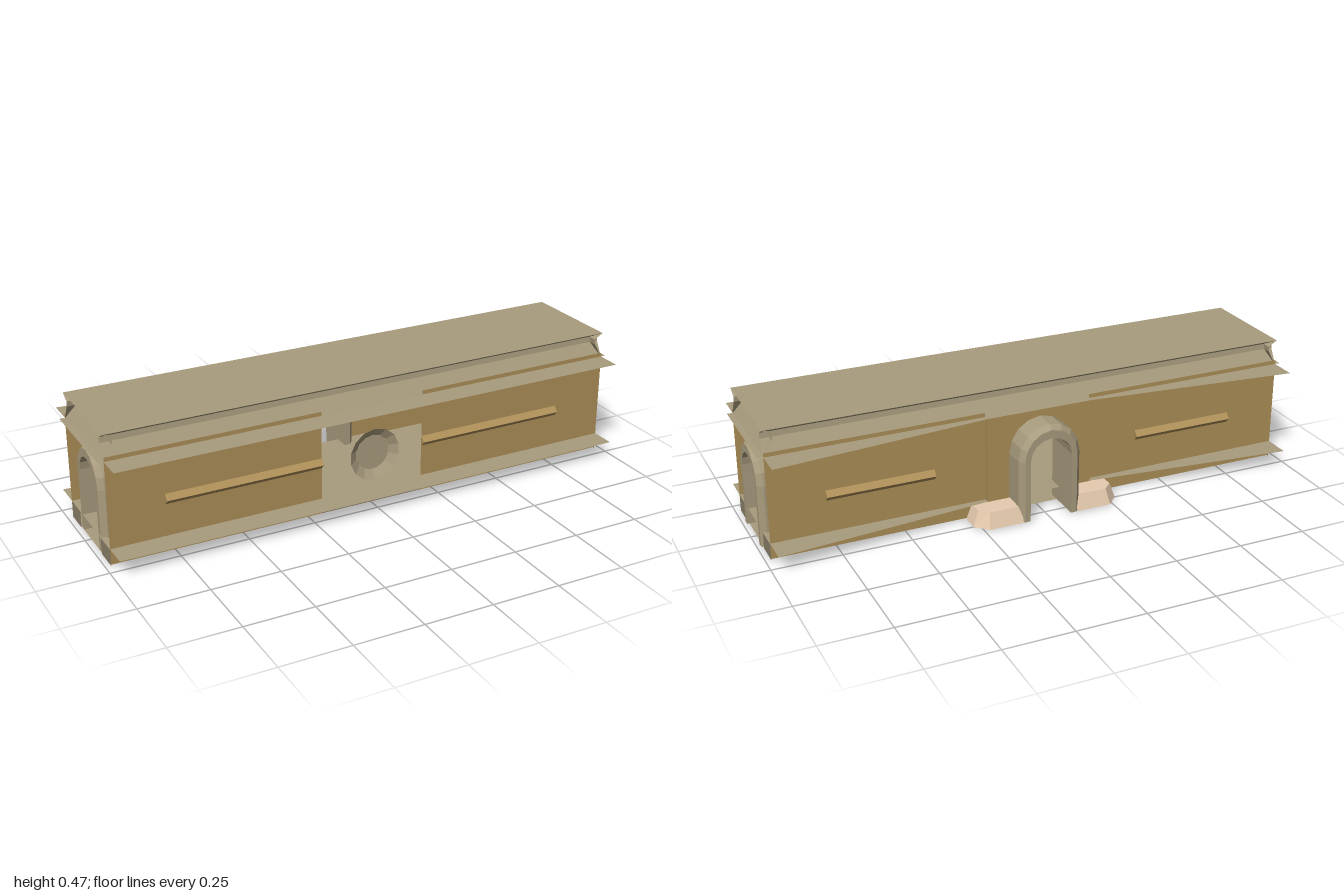
import * as THREE from 'three';

const mat = (name, color) => new THREE.MeshStandardMaterial({ name, color, side: THREE.DoubleSide, flatShading: true });
const FRONT = 0.207, BACK = -0.187, MID = 0.01, END = 0.98, PORCH = -0.207;

export function createModel() {
  const stone = mat('stone', 0xa99c7e);
  const darkStone = mat('darkStone', 0x8b8069);
  const wood = mat('ochreWall', 0xae8f58);
  const pale = mat('paleStone', 0xe6cbae);
  const model = new THREE.Group();

  const add = (name, geo, material, x = 0, y = 0, z = 0, parent = model) => {
    const m = new THREE.Mesh(geo, material);
    m.name = name;
    m.position.set(x, y, z);
    parent.add(m);
    return m;
  };
  const poly = pts => new THREE.Shape(pts.map(p => new THREE.Vector2(...p)));
  // horizontal sheets: from [x, z] points, or a plain rectangle
  const sheet = pts => new THREE.ShapeGeometry(poly(pts.map(([x, z]) => [x, -z]))).rotateX(-Math.PI / 2);
  const flat = (w, d) => new THREE.PlaneGeometry(w, d).rotateX(-Math.PI / 2);

  // surface through a list of equal-length point loops
  const loft = (loops, closed, cap) => {
    const n = loops[0].length, idx = [];
    for (let i = 0; i < loops.length - 1; i++)
      for (let j = 0; j < (closed ? n : n - 1); j++) {
        const a = i * n + j, b = i * n + (j + 1) % n;
        idx.push(a, b, a + n, b, b + n, a + n);
      }
    if (cap) for (let j = 1; j < n - 1; j++) {
      const s = (loops.length - 1) * n;
      idx.push(s, s + j, s + j + 1);
    }
    const g = new THREE.BufferGeometry();
    g.setAttribute('position', new THREE.Float32BufferAttribute(loops.flat(2), 3));
    g.setIndex(idx);
    g.computeVertexNormals();
    return g;
  };

  // Underside, and two projecting ledges that taper to the back doorway
  const depth = FRONT - BACK;
  add('underside', flat(2 * END, depth), stone, 0, 0.011, MID);
  const plan = [[-END, 0.3], [END, 0.3], [END, -0.287], [0.2, PORCH], [-0.2, PORCH], [-END, -0.287]];
  add('floorLedge', sheet(plan), stone, 0, 0.069);
  add('upperLedge', sheet(plan), stone, 0, 0.386);
  for (const s of [-1, 1])
    add('endLedge', flat(0.02, depth), stone, s * 0.99, 0.386, MID);

  // Roof and the hollow cornice strips round it
  add('roof', flat(2 * END, depth), stone, 0, 0.48, MID);
  const profile = [[0, 0.48], [-0.034, 0.46], [-0.032, 0.44], [-0.001, 0.386]];
  const cornice = len => loft([-len / 2, len / 2].map(x => profile.map(([d, y]) => [x, y, d])), false);
  add('frontCornice', cornice(2 * END), stone, 0, 0, FRONT);
  add('backCornice', cornice(2 * END), stone, 0, 0, BACK).rotation.y = Math.PI;
  for (const s of [-1, 1])
    add('endCornice', cornice(depth), stone, s * END, 0, MID).rotation.y = s * Math.PI / 2;

  // Walls either side of the middle, with a low front sill
  const wall = new THREE.PlaneGeometry(0.78, 0.39);
  for (const s of [-1, 1]) {
    add('frontWall', wall, wood, s * 0.59, 0.206, FRONT);
    add('backWall', wall, wood, s * 0.59, 0.206, BACK);
  }
  add('frontSill', new THREE.PlaneGeometry(0.4, 0.058), darkStone, 0, 0.04, FRONT);

  // Doorway panel standing slightly proud of the back wall
  const door = poly([[-0.2, 0.011], [-0.1, 0.011], [-0.1, 0.24]]);
  door.absarc(0, 0.24, 0.1, Math.PI, 0, true);
  [[0.1, 0.011], [0.2, 0.011], [0.2, 0.386], [-0.2, 0.386]].forEach(p => door.lineTo(...p));
  add('doorPanel', new THREE.ShapeGeometry(door, 10), wood, 0, 0, PORCH);
  for (const s of [-1, 1])
    add('doorPanelEdge', new THREE.PlaneGeometry(BACK - PORCH, 0.375), wood, s * 0.2, 0.1985,
      (BACK + PORCH) / 2).rotation.y = s * Math.PI / 2;

  // Wedge-shaped rails on the walls
  const rail = (name, x0, x1, z, dir) => {
    const tri = [[0.225, 0], [0.206, 0.019 * dir], [0.187, 0]];
    add(name, loft([x0, x0, x1, x1].map((x, i) => tri.map(([y, d]) =>
      i === 0 || i === 3 ? [x, 0.206, z] : [x, y, z + d])), true), wood);
  };
  for (const s of [-1, 1]) {
    rail('frontRail', s * 0.2, s * 0.78, FRONT, 1);
    rail('backRail', s * 0.39, s * 0.78, BACK, -1);
  }

  // Bevelled arch: each section point is [half width, rise, depth]
  const section = [[0.117, 0.122, 0.058], [0.1, 0.106, 0.078], [0.079, 0.075, 0.078],
    [0.079, 0.075, -0.078], [0.1, 0.106, -0.078], [0.117, 0.122, -0.058]];
  const archLoops = [section.map(([w, , d]) => [w, 0.011, d])];
  for (let i = 0; i <= 8; i++) {
    const a = i * Math.PI / 8;
    archLoops.push(section.map(([w, r, d]) => [w * Math.cos(a), 0.241 + r * Math.sin(a), d]));
  }
  archLoops.push(section.map(([w, , d]) => [-w, 0.011, d]));
  const arch = loft(archLoops, true);
  add('backArch', arch, stone, 0, 0, -0.225);
  for (const s of [-1, 1])
    add('endArch', arch, stone, s > 0 ? 0.91 : -0.9, 0, MID).rotation.y = Math.PI / 2;

  // Pale chamfered stones beside the back arch
  const foot = (y, k) => [[0.105, -0.147 - k], [0.105, -0.303 + k], [0.235 - k / 2, -0.303 + k],
    [0.277 - k, -0.257 + k / 5], [0.277 - k, -0.193 - k / 5], [0.235 - k / 2, -0.147 - k]]
    .map(([x, z]) => [x, y, z]);
  const footGeo = loft([foot(0.011, 0), foot(0.068, 0.02)], true, true);
  for (const s of [-1, 1]) add('footStone', footGeo, pale).scale.x = s;

  // Low end plates beside the end arches
  for (const s of [-1, 1])
    for (const z of [0.161, -0.141])
      add('endPlate', new THREE.PlaneGeometry(0.092, 0.06), darkStone, s * END, 0.036, z)
        .rotation.y = s * Math.PI / 2;

  // Shallow round dish in the front opening
  const dish = new THREE.Group();
  dish.name = 'dish';
  dish.position.set(0, 0.205, 0);
  model.add(dish);
  add('dishRim', new THREE.CylinderGeometry(0.098, 0.066, 0.02, 14, 1, true).rotateX(Math.PI / 2),
    stone, 0, 0, 0.217, dish);
  add('dishBase', new THREE.CircleGeometry(0.066, 14), stone, 0, 0, FRONT, dish);

  // Small torch held by two pins behind the dish
  const torch = new THREE.Group();
  torch.name = 'torch';
  torch.position.set(0, 0.19, 0.192);
  torch.rotation.x = -0.2;
  model.add(torch);
  add('torchShaft', new THREE.CylinderGeometry(0.005, 0.001, 0.075, 6), wood, 0, 0, 0, torch);
  add('torchHead', new THREE.CylinderGeometry(0.01, 0.005, 0.012, 6), wood, 0, 0.04, 0, torch);
  for (const y of [0.216, 0.159])
    add('torchPin', new THREE.BoxGeometry(0.004, 0.004, 0.024), wood, 0, y, 0.197);

  return model;
}
